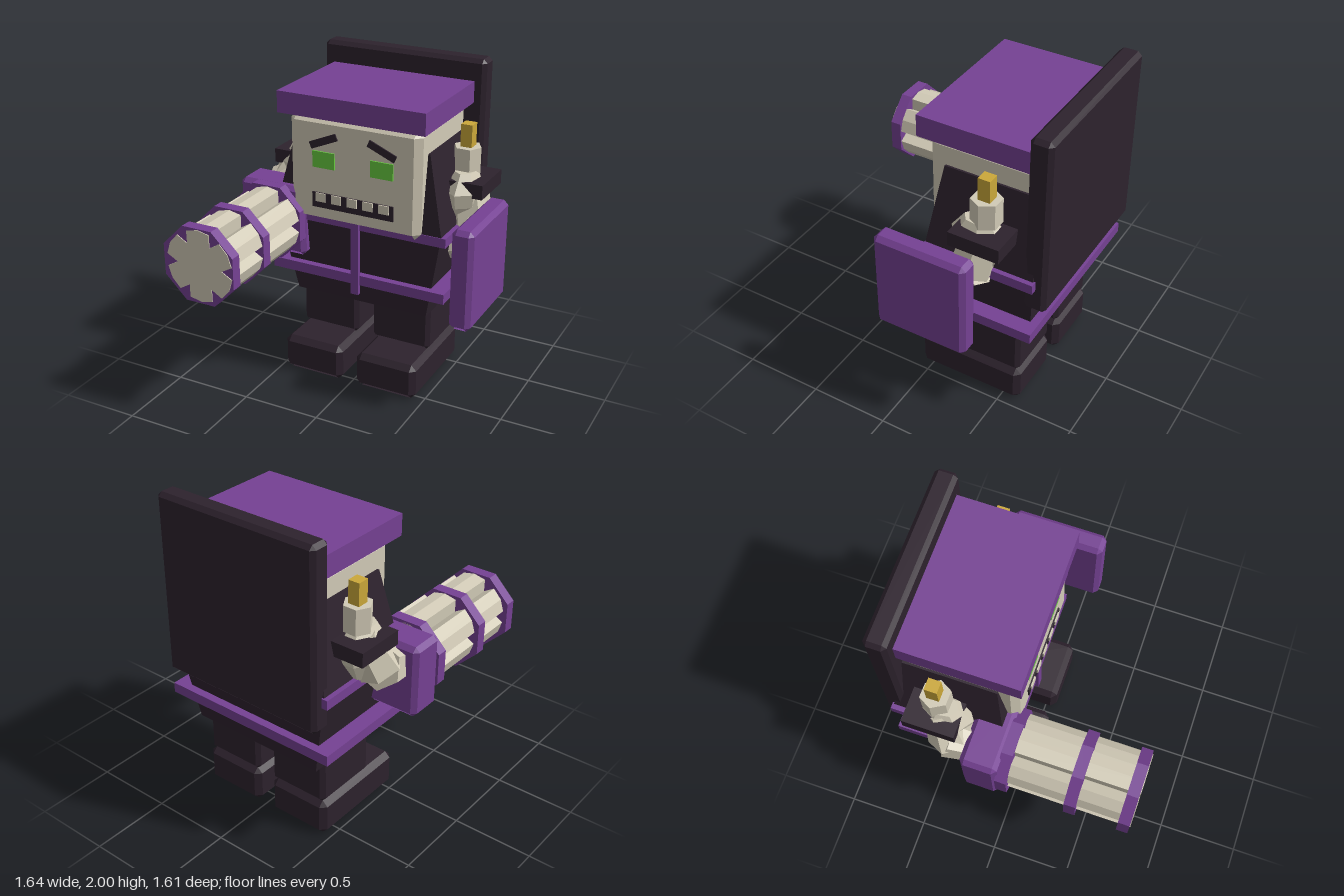
import * as THREE from 'three';

const mat = (name, color) => {
  const m = new THREE.MeshStandardMaterial({ color, flatShading: true, side: THREE.DoubleSide });
  m.name = name;
  return m;
};

// Box with chamfered edges; the chamfers along the bottom edges are left open
function chamferBox(w, h, d, b) {
  const half = [w / 2, h / 2, d / 2], pos = [], S = [-1, 1];
  const vert = (axis, s) => new THREE.Vector3(...half.map((e, k) => s[k] * (k === axis ? e : e - b)));
  const tri = (p, q, r) => {
    const n = q.clone().sub(p).cross(r.clone().sub(p));
    const out = n.dot(p.clone().add(q).add(r)) > 0;
    for (const v of out ? [p, q, r] : [p, r, q]) pos.push(v.x, v.y, v.z);
  };
  const quad = (p, q, r, t) => { tri(p, q, r); tri(p, r, t); };
  const sign = (i, a, j, c, k, e) => { const s = []; s[i] = a; s[j] = c; s[k] = e; return s; };
  for (let i = 0; i < 3; i++) {
    const j = (i + 1) % 3, k = (i + 2) % 3;
    for (const a of S) {
      const f = (c, e) => vert(i, sign(i, a, j, c, k, e));
      quad(f(-1, -1), f(1, -1), f(1, 1), f(-1, 1));
      for (const c of S) {
        if ((i === 1 && a < 0) || (j === 1 && c < 0)) continue;
        const lo = sign(i, a, j, c, k, -1), hi = sign(i, a, j, c, k, 1);
        quad(vert(i, lo), vert(j, lo), vert(j, hi), vert(i, hi));
      }
    }
  }
  for (const x of S) for (const y of S) for (const z of S) tri(...[0, 1, 2].map(a => vert(a, [x, y, z])));
  const g = new THREE.BufferGeometry();
  g.setAttribute('position', new THREE.Float32BufferAttribute(pos, 3));
  g.computeVertexNormals();
  return g;
}

export function createModel() {
  const root = new THREE.Group();
  const dark = mat('dark cloth', 0x2d222d);
  const purple = mat('purple trim', 0x754193);
  const bone = mat('bone', 0xd2cbb7);
  const green = mat('green eyes', 0x68cc40);
  const gold = mat('gold spike', 0xcba83a);

  const add = (name, geo, material, parent = root) => {
    const m = new THREE.Mesh(geo, material);
    m.name = name;
    parent.add(m);
    return m;
  };
  // Box from its limits, chamfered when b is given
  const box = (name, material, x0, x1, y0, y1, z0, z1, b = 0, parent = root) => {
    const s = [x1 - x0, y1 - y0, z1 - z0];
    const m = add(name, b ? chamferBox(...s, b) : new THREE.BoxGeometry(...s), material, parent);
    m.position.set((x0 + x1) / 2, (y0 + y1) / 2, (z0 + z1) / 2);
    return m;
  };
  // Tapered limb between two points
  const limb = (name, a, b, ra, rb, parent) => {
    const p = new THREE.Vector3(...a), q = new THREE.Vector3(...b), dir = q.clone().sub(p);
    const m = add(name, new THREE.CylinderGeometry(rb, ra, dir.length(), 6), bone, parent);
    m.position.copy(p).add(q).multiplyScalar(0.5);
    m.quaternion.setFromUnitVectors(new THREE.Vector3(0, 1, 0), dir.normalize());
    return m;
  };

  // Symmetric figure, slightly off centre
  const figure = new THREE.Group();
  figure.name = 'figure';
  figure.position.x = -0.01;
  root.add(figure);

  // Torso: widest at the upper belt
  const torso = new THREE.BoxGeometry(2, 2, 2, 1, 2, 1), tp = torso.attributes.position;
  for (let i = 0; i < tp.count; i++) {
    const y = Math.round(tp.getY(i)), mid = y === 0;
    tp.setXYZ(i, tp.getX(i) * (mid ? 0.56 : 0.448), [0.51, 1.09, 1.57][y + 1],
      -0.39 + tp.getZ(i) * (mid ? 0.345 : 0.28));
  }
  torso.computeVertexNormals();
  add('torso', torso, dark, figure);
  box('backSlab', dark, -0.55, 0.55, 0.87, 2.0, -0.805, -0.67, 0.025, figure);
  box('upperBelt', purple, -0.59, 0.59, 1.03, 1.09, -0.745, -0.04, 0, figure);
  box('lowerBelt', purple, -0.59, 0.59, 0.66, 0.725, -0.745, -0.04, 0, figure);
  box('frontStrap', purple, -0.027, 0.027, 0.6, 1.09, -0.045, -0.02, 0, figure);

  // Head and cap
  box('head', bone, -0.435, 0.435, 1.045, 1.73, -0.67, 0, 0.042, figure);
  box('cap', purple, -0.482, 0.482, 1.73, 1.865, -0.67, 0.045, 0, figure);
  box('mouth', dark, -0.272, 0.272, 1.155, 1.25, 0, 0.009, 0, figure);
  for (let i = -2; i <= 2; i++) {
    box('tooth', bone, i * 0.106 - 0.033, i * 0.106 + 0.033, 1.195, 1.25, 0.009, 0.017, 0, figure);
  }

  for (const s of [-1, 1]) {
    const side = s > 0 ? 'left' : 'right';
    const mid = (name, m, x, w, ...rest) => box(side + name, m, s * x - w / 2, s * x + w / 2, ...rest, figure);
    mid('Eye', green, 0.193, 0.148, 1.412, 1.515, 0.001, 0.01, 0);
    mid('Brow', dark, 0.193, 0.19, 1.56, 1.605, 0.001, 0.01, 0).rotation.z = -s * 0.4;
    mid('Leg', dark, 0.25, 0.394, 0.235, 0.555, -0.605, -0.17, 0.025);
    mid('Foot', dark, 0.255, 0.41, 0, 0.235, -0.615, 0.07, 0.035);

    // Shoulder with neck, spike and dark band
    const arm = new THREE.Group();
    arm.name = side + 'Arm';
    figure.add(arm);
    const profile = [[0, 1.06], [0.08, 1.08], [0.15, 1.2], [0.17, 1.29], [0.09, 1.4], [0, 1.4]];
    const shoulder = add('shoulder', new THREE.LatheGeometry(profile.map(p => new THREE.Vector2(...p)), 7), bone, arm);
    shoulder.position.set(s * 0.56, 0, -0.4);
    shoulder.scale.set(0.72, 1, 1.05);
    const neck = add('neck', new THREE.CylinderGeometry(0.09, 0.09, 0.16, 6), bone, arm);
    neck.position.set(s * 0.55, 1.46, -0.435);
    neck.rotation.y = Math.PI / 6;
    neck.scale.set(0.95, 1, 1);
    box('spike', gold, s * 0.55 - 0.036, s * 0.55 + 0.036, 1.54, 1.68, -0.475, -0.4, 0, arm);
    box('shoulderBand', dark, s * 0.6 - 0.11, s * 0.6 + 0.11, 1.27, 1.36, -0.6, -0.285, 0, arm);
    if (s > 0) {
      limb('upperArm', [0.57, 1.3, -0.42], [0.62, 1.08, -0.38], 0.12, 0.13, arm);
      limb('forearm', [0.62, 1.12, -0.42], [0.63, 0.93, -0.18], 0.12, 0.08, arm);
    } else {
      limb('upperArm', [-0.56, 1.34, -0.42], [-0.64, 1.12, -0.34], 0.1, 0.14, arm);
      limb('forearm', [-0.64, 1.14, -0.36], [-0.61, 1.06, -0.12], 0.14, 0.11, arm);
    }
  }

  // Shield on the left arm
  box('shield', purple, 0.682, 0.817, 0.605, 1.24, -0.455, 0.135, 0.028);

  // Barrel weapon on the right arm
  const gun = new THREE.Group();
  gun.name = 'barrelWeapon';
  root.add(gun);
  box('gunHousing', purple, -0.815, -0.355, 0.785, 1.24, -0.235, -0.01, 0.028, gun);
  const pts = [];
  for (let k = 0; k < 6; k++) {
    for (const [deg, r] of [[-20, 0.222], [0, 0.225], [20, 0.222], [30, 0.15]]) {
      const a = THREE.MathUtils.degToRad(90 + k * 60 + deg);
      pts.push(new THREE.Vector2(Math.cos(a) * r, Math.sin(a) * r));
    }
  }
  const barrels = add('barrelCluster',
    new THREE.ExtrudeGeometry(new THREE.Shape(pts), { depth: 0.82, bevelEnabled: false }), bone, gun);
  barrels.position.set(-0.575, 1.017, -0.02);
  for (const z of [0.015, 0.435, 0.76]) {
    const ring = add('barrelRing', new THREE.CylinderGeometry(0.254, 0.254, 0.07, 8)
      .rotateY(Math.PI / 8).rotateX(Math.PI / 2), purple, gun);
    ring.position.set(-0.585, 1.013, z);
  }
  return root;
}
